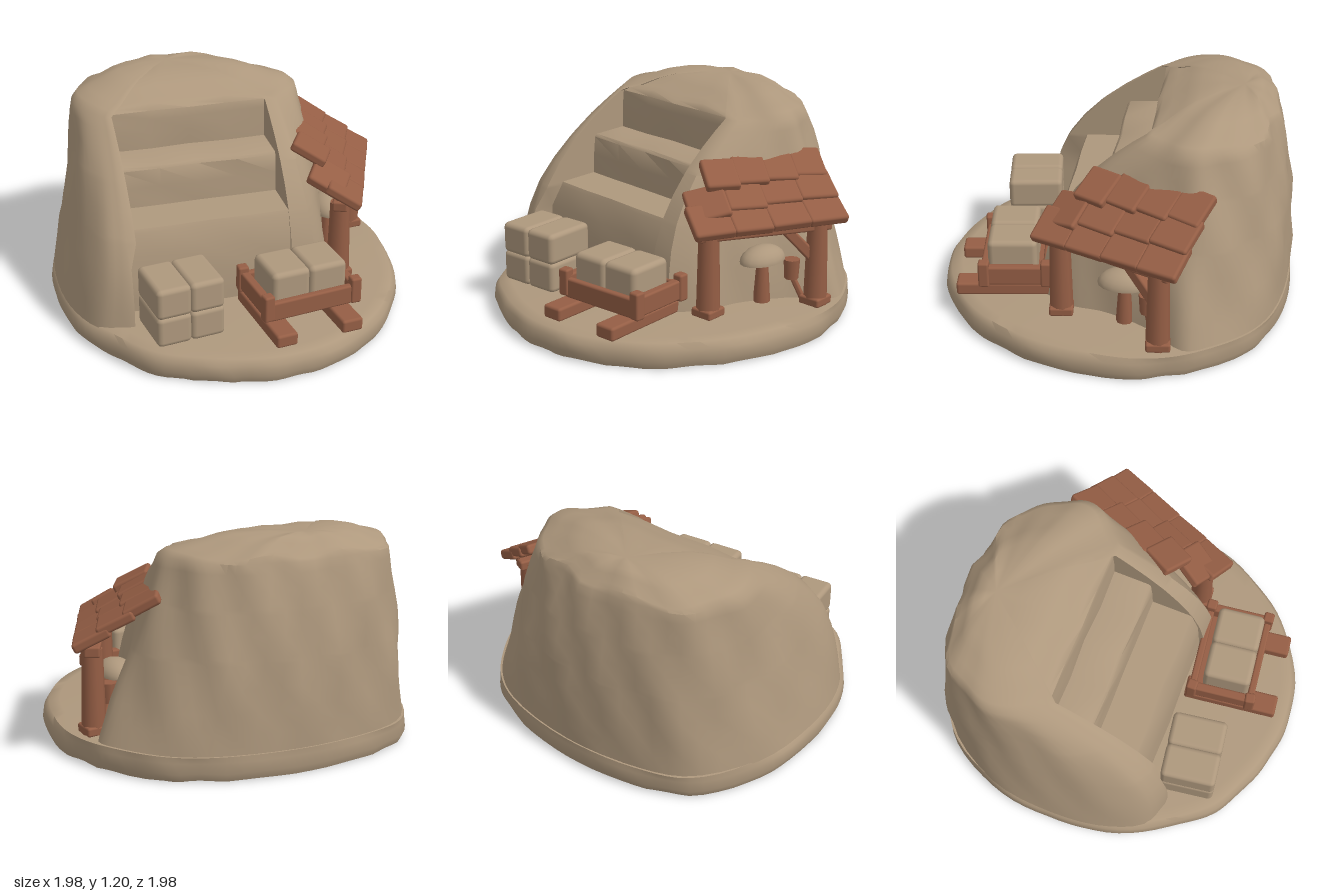
import * as THREE from 'three';
import { toCreasedNormals } from 'three/addons/utils/BufferGeometryUtils.js';
import { RoundedBoxGeometry } from 'three/addons/geometries/RoundedBoxGeometry.js';

const stone = new THREE.MeshStandardMaterial({ color: 0xae987d });
stone.name = 'sandstone';
const wood = new THREE.MeshStandardMaterial({ color: 0x955e45 });
wood.name = 'redBrownWood';

let seed = 7;
const rand = () => (seed = (seed * 16807) % 2147483647) / 2147483647;
const jitter = (a) => (rand() - 0.5) * 2 * a;

function add(parent, name, geometry, material, pos = [0, 0, 0], rot = [0, 0, 0]) {
  const mesh = new THREE.Mesh(geometry, material);
  mesh.name = name;
  mesh.position.set(...pos);
  mesh.rotation.set(...rot);
  parent.add(mesh);
  return mesh;
}

function group(parent, name, pos, yaw = 0) {
  const g = new THREE.Group();
  g.name = name;
  g.position.set(...pos);
  g.rotation.y = yaw;
  parent.add(g);
  return g;
}

const block = (w, h, d, r = 0.012) => new RoundedBoxGeometry(w, h, d, 2, r);

// Beam between two points
function beam(parent, name, a, b, w, d = w) {
  const A = new THREE.Vector3(...a), B = new THREE.Vector3(...b);
  const mesh = add(parent, name, block(w, d, A.distanceTo(B)), wood);
  mesh.position.copy(A).add(B).multiplyScalar(0.5);
  mesh.lookAt(B);
}

// Skin a stack of closed rings, each running left, back, right, front
function loft(rings, crease) {
  const n = rings[0].length, index = [];
  for (let j = 0; j < rings.length - 1; j++) {
    for (let i = 0; i < n; i++) {
      const a = j * n + i, b = j * n + (i + 1) % n;
      index.push(a, a + n, b + n, a, b + n, b);
    }
  }
  const geo = new THREE.BufferGeometry().setFromPoints(rings.flat());
  geo.setIndex(index);
  return toCreasedNormals(geo, crease);
}

// Ground slab, hollow underneath
const PLAN = [[-0.995, -0.13], [-0.945, -0.5], [-0.73, -0.85], [-0.45, -0.96], [0, -1], [0.45, -0.92],
  [0.66, -0.8], [0.82, -0.61], [0.94, -0.38], [0.985, -0.13], [0.92, 0.27], [0.78, 0.56], [0.58, 0.78],
  [0.29, 0.94], [0.03, 0.985], [-0.2, 0.955], [-0.4, 0.885], [-0.62, 0.77], [-0.81, 0.53], [-0.96, 0.22]];

function baseGeometry() {
  const edge = new THREE.CatmullRomCurve3(PLAN.map(([x, z]) => new THREE.Vector3(x, 0, z)), true).getPoints(100);
  edge.pop();
  const profile = [[0, 0.13], [0.9, 0.13], [0.94, 0.02], [0.98, 0.012], [0.998, 0.055], [0.99, 0.115],
    [0.965, 0.148], [0.9, 0.155], [0, 0.155]];
  return loft(profile.map(([s, y]) => edge.map((p, i) => {
    const w = s > 0.93 && y < 0.13 ? 0.006 * Math.sin(i * 0.9) + 0.005 * Math.sin(i * 0.42) : 0;
    // Upright rim where the hill stands on it
    const hill = THREE.MathUtils.smoothstep(-p.z - 0.3 * Math.max(-p.x, 0), -0.1, 0.5);
    const k = (s > 0.95 && y > 0.1 ? THREE.MathUtils.lerp(s, 0.992, hill) : s) + w * 0.5;
    return new THREE.Vector3(p.x * k, y + (y < 0.1 ? Math.abs(w) : 0), p.z * k);
  })), 0.9);
}

// Quarry hill: stacked outlines with a stepped notch cut into the front
const FOOT = [[-0.7, 0.48], [-0.84, 0.42], [-0.945, 0.2], [-0.98, -0.13], [-0.93, -0.5], [-0.715, -0.835],
  [-0.44, -0.945], [0, -0.985], [0.445, -0.905], [0.65, -0.787], [0.805, -0.6], [0.87, -0.45], [0.7, -0.25],
  [0.57, 0], [0.53, 0.2], [0.42, 0.36]];
const BROW = [[-0.64, -0.18], [-0.7, -0.25], [-0.76, -0.35], [-0.78, -0.45], [-0.76, -0.6], [-0.65, -0.76],
  [-0.38, -0.86], [-0.05, -0.87], [0.2, -0.82], [0.34, -0.74], [0.44, -0.62], [0.49, -0.52], [0.5, -0.45],
  [0.48, -0.36], [0.4, -0.28], [0.32, -0.19]];

function outline(y, riser) {
  const t = (y - 0.14) / 0.95;
  const curve = new THREE.CatmullRomCurve3(FOOT.map(([x, z], i) => new THREE.Vector3(
    THREE.MathUtils.lerp(x, BROW[i][0], t), y, THREE.MathUtils.lerp(z, BROW[i][1], t ** 2.6))));
  const pts = curve.getPoints(56);
  pts.forEach((p, i) => {
    const a = Math.atan2(p.z + 0.3, p.x + 0.1);
    const swell = 0.01 * Math.sin(Math.PI * i / 56) * Math.min(1, t * 4);
    const n = swell * (Math.sin(9 * a + 9 * y) + Math.sin(14 * a - 8 * y));
    p.x += Math.cos(a) * n;
    p.z += Math.sin(a) * n;
  });
  const left = y < 0.5 ? -0.66 : -0.62, right = 0.26;
  const zr = pts[56].z, zl = pts[0].z;
  const back = Math.min(riser, zl - 0.005, zr - 0.005);
  pts.push(new THREE.Vector3(right, y, zr));
  for (let i = 0; i <= 4; i++) {
    const x = THREE.MathUtils.lerp(right, left, i / 4);
    pts.push(new THREE.Vector3(x, y, back + (i % 4 ? 0.006 * Math.sin(i * 3 + y * 20) : 0)));
  }
  pts.push(new THREE.Vector3(left, y, zl));
  return pts;
}

function hillGeometry() {
  const levels = [[0.14, 0.33], [0.25, 0.33], [0.36, 0.32], [0.48, 0.31], [0.6, 0.3], [0.62, 0.28],
    [0.63, 0.03], [0.74, 0.025], [0.845, 0.015], [0.86, 0],
    [0.87, -0.2], [0.96, -0.2], [1.04, -0.205], [1.09, -0.21]];
  const rings = levels.map(([y, z]) => outline(y, z));
  const brow = rings[rings.length - 1];
  // Rounded crown drawn in to the summit
  for (const [s, y] of [[0.94, 1.115], [0.82, 1.13], [0.66, 1.17], [0.5, 1.195], [0.25, 1.205], [0, 1.2]]) {
    rings.push(brow.map((p) => new THREE.Vector3(-0.2 + (p.x + 0.2) * s,
      y + 0.014 * s * Math.sin(p.x * 14), -0.68 + (p.z + 0.68) * s)));
  }
  return loft(rings, 0.75);
}

export function createModel() {
  const model = new THREE.Group();
  model.name = 'quarry';
  add(model, 'groundSlab', baseGeometry(), stone);
  add(model, 'steppedHill', hillGeometry(), stone);

  // Stack of cut stone blocks
  const stack = group(model, 'stoneStack', [-0.42, 0, 0.54], 0.14);
  for (const x of [-0.094, 0.094]) {
    for (const y of [0.235, 0.4]) {
      add(stack, 'stoneBlock', block(0.192, 0.175, 0.31, 0.028), stone, [x, y, 0]);
    }
  }

  // Sled with two blocks
  const sled = group(model, 'sled', [0.235, 0, 0.53], 0.12);
  for (const s of [-1, 1]) {
    add(sled, 'runner', block(0.12, 0.075, 0.54, 0.015), wood, [s * 0.19 - 0.02, 0.187, 0.06]);
    add(sled, 'sideRail', block(0.05, 0.11, 0.36), wood, [s * 0.25, 0.3, 0]);
    add(sled, 'endRail', block(0.5, 0.11, 0.04), wood, [0, 0.285, s * 0.17], [0, 0, s * 0.015]);
    add(sled, 'loadedBlock', block(0.218, 0.23, 0.27, 0.03), stone, [s * 0.107, 0.365, 0.015]);
    for (const z of [-0.17, 0.17]) {
      add(sled, 'cornerPost', block(0.06, 0.15, 0.06), wood, [s * 0.255, 0.31, z], [0, jitter(0.1), 0]);
    }
  }
  add(sled, 'bed', block(0.5, 0.04, 0.34), wood, [0, 0.25, 0]);

  // Shelter posts, beams and braces
  const shelter = group(model, 'shelter', [0, 0, 0]);
  const posts = [[0.575, 0.23], [0.838, -0.32]];
  for (const [x, z] of posts) {
    add(shelter, 'post', new THREE.CylinderGeometry(0.055, 0.066, 0.46, 10), wood, [x, 0.38, z]);
    add(shelter, 'postFoot', block(0.13, 0.05, 0.13), wood, [x, 0.175, z], [0, 0.1, 0]);
  }
  beam(shelter, 'eaveBeam', [0.55, 0.605, 0.29], [0.865, 0.605, -0.385], 0.085, 0.06);
  beam(shelter, 'brace', [0.825, 0.42, -0.3], [0.755, 0.59, -0.16], 0.06);

  // Overlapping roof boards: rows fan out to the back, front end of the middle row droops
  const roof = group(shelter, 'roof', [0.63, 0, 0.37], 1.176);
  [0, 0.02, 0.15].forEach((start, row) => {
    const count = 4, w = (0.85 - start) / count;
    for (let i = 0; i < count; i++) {
      const u = start + w * (i + 0.5);
      const droop = row === 1 && i === 0 ? 1 : 0;
      add(roof, 'roofBoard', block(w + 0.012, 0.055, 0.21 + jitter(0.012), 0.016), wood,
        [u, 0.682 + row * 0.09 - droop * 0.03 + jitter(0.005),
          -0.08 - row * (0.115 + 0.05 * (u - 0.5)) + jitter(0.008)],
        [0.5 + jitter(0.04), -0.05 * row, droop * 0.22 + jitter(0.04)]);
    }
  });

  // Work stand with a stone top
  const stand = group(model, 'workStand', [0.63, 0, -0.12]);
  add(stand, 'standLeg', new THREE.CylinderGeometry(0.03, 0.048, 0.26, 8), wood, [0, 0.27, 0]);
  const top = add(stand, 'standTop', new THREE.SphereGeometry(1, 16, 6, 0, Math.PI * 2, 0, Math.PI / 2),
    stone, [0, 0.39, 0]);
  top.scale.set(0.1, 0.085, 0.145);
  const under = add(stand, 'standUnderside', new THREE.CircleGeometry(1, 16), stone, [0, 0.39, 0], [Math.PI / 2, 0, 0]);
  under.scale.set(0.1, 0.145, 1);

  // Mallet leaning by the rear post
  const mallet = group(model, 'mallet', [0, 0, 0]);
  add(mallet, 'malletHead', new THREE.CylinderGeometry(0.045, 0.038, 0.11, 8), wood, [0.725, 0.335, -0.25]);
  beam(mallet, 'malletHandle', [0.725, 0.3, -0.25], [0.785, 0.15, -0.29], 0.032);
  return model;
}
